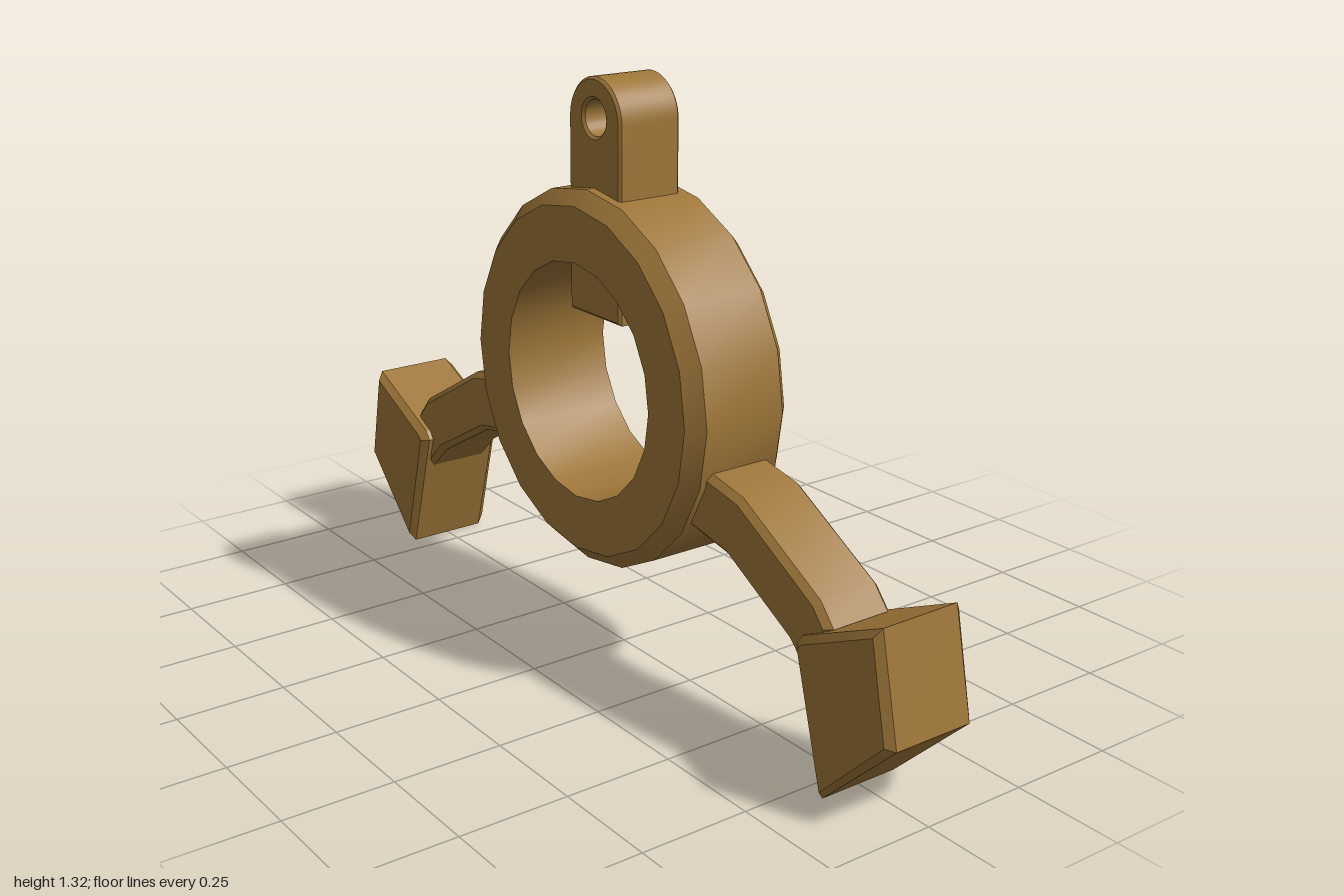
import * as THREE from 'three';
import { toCreasedNormals } from 'three/addons/utils/BufferGeometryUtils.js';

const RING_Y = 0.66;

// Extrudes a shape centred on z = 0; the outline and depth include the bevel
function slab(shape, halfDepth, bevel) {
  const geometry = new THREE.ExtrudeGeometry(shape, {
    depth: 2 * (halfDepth - bevel),
    bevelEnabled: true,
    bevelThickness: bevel,
    bevelSize: bevel,
    bevelOffset: -bevel,
    bevelSegments: 1,
    curveSegments: 12,
  });
  geometry.translate(0, 0, bevel - halfDepth);
  return toCreasedNormals(geometry, 0.5);
}

const outline = (points) => new THREE.Shape(points.map(([x, y]) => new THREE.Vector2(x, y)));

export function createModel() {
  const group = new THREE.Group();
  const bronze = new THREE.MeshStandardMaterial({ color: 0x9e7639 });
  bronze.name = 'bronze';

  const add = (name, geometry, parent = group) => {
    const mesh = new THREE.Mesh(geometry, bronze);
    mesh.name = name;
    parent.add(mesh);
    return mesh;
  };

  // Ring with chamfered outer edges
  const profile = [
    [0.268, -0.132], [0.392, -0.132], [0.425, -0.1], [0.425, 0.1],
    [0.392, 0.132], [0.268, 0.132], [0.268, -0.132],
  ].map(([r, y]) => new THREE.Vector2(r, y));
  const ring = new THREE.LatheGeometry(profile, 20);
  ring.rotateX(Math.PI / 2);
  add('ring', toCreasedNormals(ring, 0.5)).position.y = RING_Y;

  // Lug passing through the top of the ring, with a round eye
  const lug = new THREE.Shape();
  lug.moveTo(-0.094, 0.798);
  lug.lineTo(0.094, 0.798);
  lug.lineTo(0.094, 1.229);
  lug.absarc(0, 1.229, 0.094, 0, Math.PI, false);
  lug.closePath();
  const eye = new THREE.Path();
  eye.absarc(0, 1.235, 0.04, 0, Math.PI * 2, true);
  lug.holes.push(eye);
  add('lug', slab(lug, 0.079, 0.006));

  // Bent arms ending in wedge feet, one on each side
  const armGeometry = slab(outline([
    [0.28, 0.45], [0.35, 0.422], [0.47, 0.4], [0.67, 0.288], [0.74, 0.222],
    [0.79, 0.355], [0.75, 0.402], [0.51, 0.538], [0.4, 0.56], [0.3, 0.565],
  ]), 0.085, 0.014);
  const footGeometry = slab(outline([
    [0.802, 0], [1, 0.192], [0.95, 0.428], [0.728, 0.326], [0.713, 0.305],
  ]), 0.112, 0.016);

  for (const side of ['left', 'right']) {
    const limb = new THREE.Group();
    limb.name = side + 'Limb';
    add(side + 'Arm', armGeometry, limb);
    add(side + 'Foot', footGeometry, limb);
    if (side === 'right') limb.rotation.y = Math.PI;
    group.add(limb);
  }

  return group;
}
